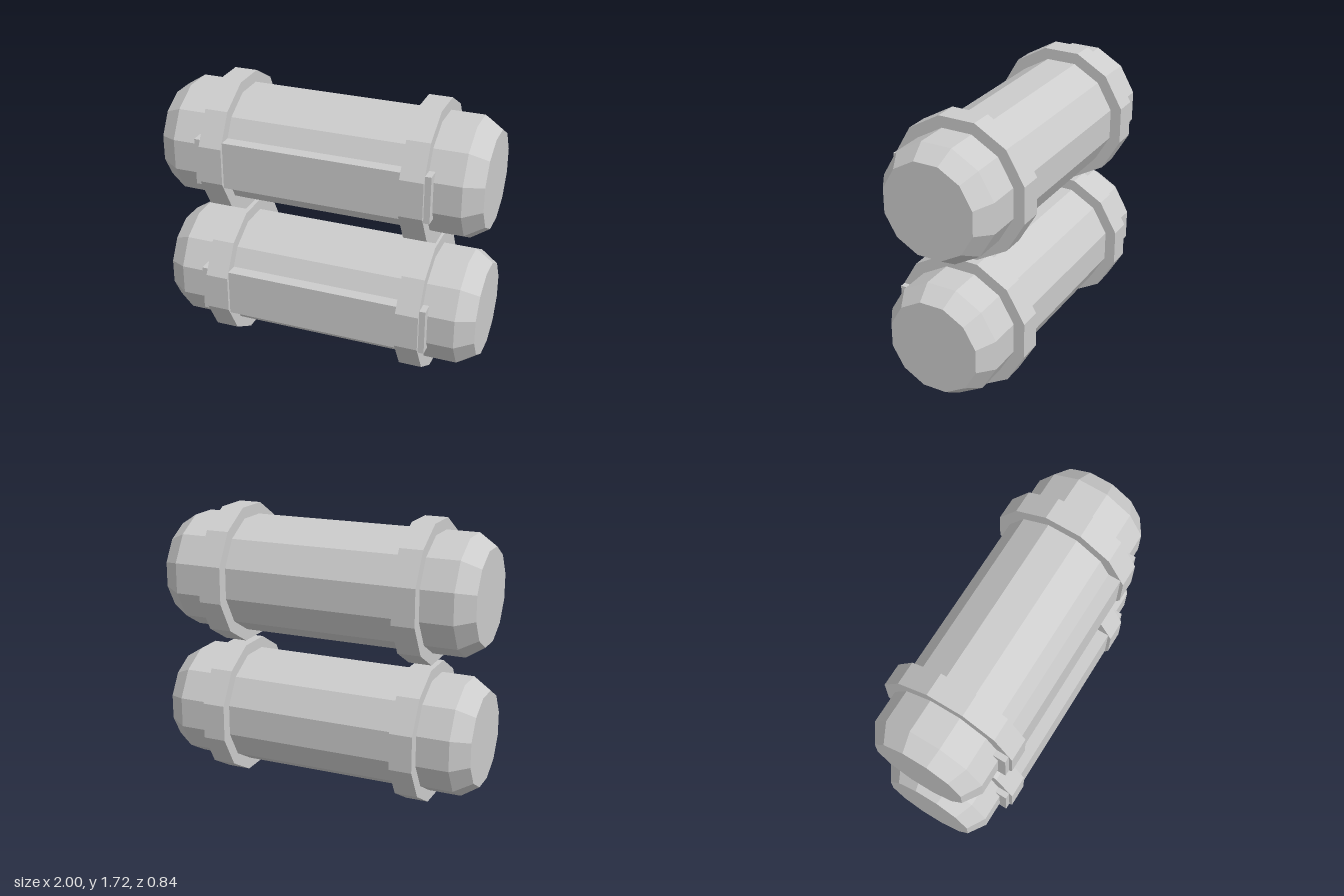
import * as THREE from 'three';

const SIDES = 12;
const toRadius = (apothem) => apothem / Math.cos(Math.PI / SIDES);

// Lay an upright twelve-sided form along x, with flat faces on top and front
function layDown(geometry) {
  return geometry.rotateY(Math.PI / SIDES).rotateZ(Math.PI / 2);
}

export function createModel() {
  const grey = new THREE.MeshStandardMaterial({ color: 0xcccccc, flatShading: true });
  grey.name = 'light grey';

  // Tank body with chamfered ends
  const profile = [[0, -1], [0.283, -1], [0.352, -0.89], [0.352, 0.89], [0.283, 1], [0, 1]]
    .map(([r, y]) => new THREE.Vector2(toRadius(r), y));
  const bodyGeometry = layDown(new THREE.LatheGeometry(profile, SIDES));

  // Raised band and front plate
  const bandRadius = toRadius(0.4215);
  const bandGeometry = layDown(new THREE.CylinderGeometry(bandRadius, bandRadius, 0.142, SIDES));
  const plateGeometry = new THREE.BoxGeometry(1.45, 0.29, 0.1);

  const model = new THREE.Group();
  model.name = 'stackedCanisters';

  const add = (parent, geometry, name, x, y, z) => {
    const mesh = new THREE.Mesh(geometry, grey);
    mesh.name = name;
    mesh.position.set(x, y, z);
    parent.add(mesh);
  };

  // Two identical canisters, one above the other
  for (const [name, y] of [['lowerCanister', 0.4215], ['upperCanister', 1.2975]]) {
    const canister = new THREE.Group();
    canister.name = name;
    canister.position.y = y;
    add(canister, bodyGeometry, 'body', 0, 0, 0);
    add(canister, bandGeometry, 'leftBand', 0.617, 0, 0);
    add(canister, bandGeometry, 'rightBand', -0.617, 0, 0);
    add(canister, plateGeometry, 'frontPlate', 0, 0.003, 0.35);
    model.add(canister);
  }
  return model;
}
